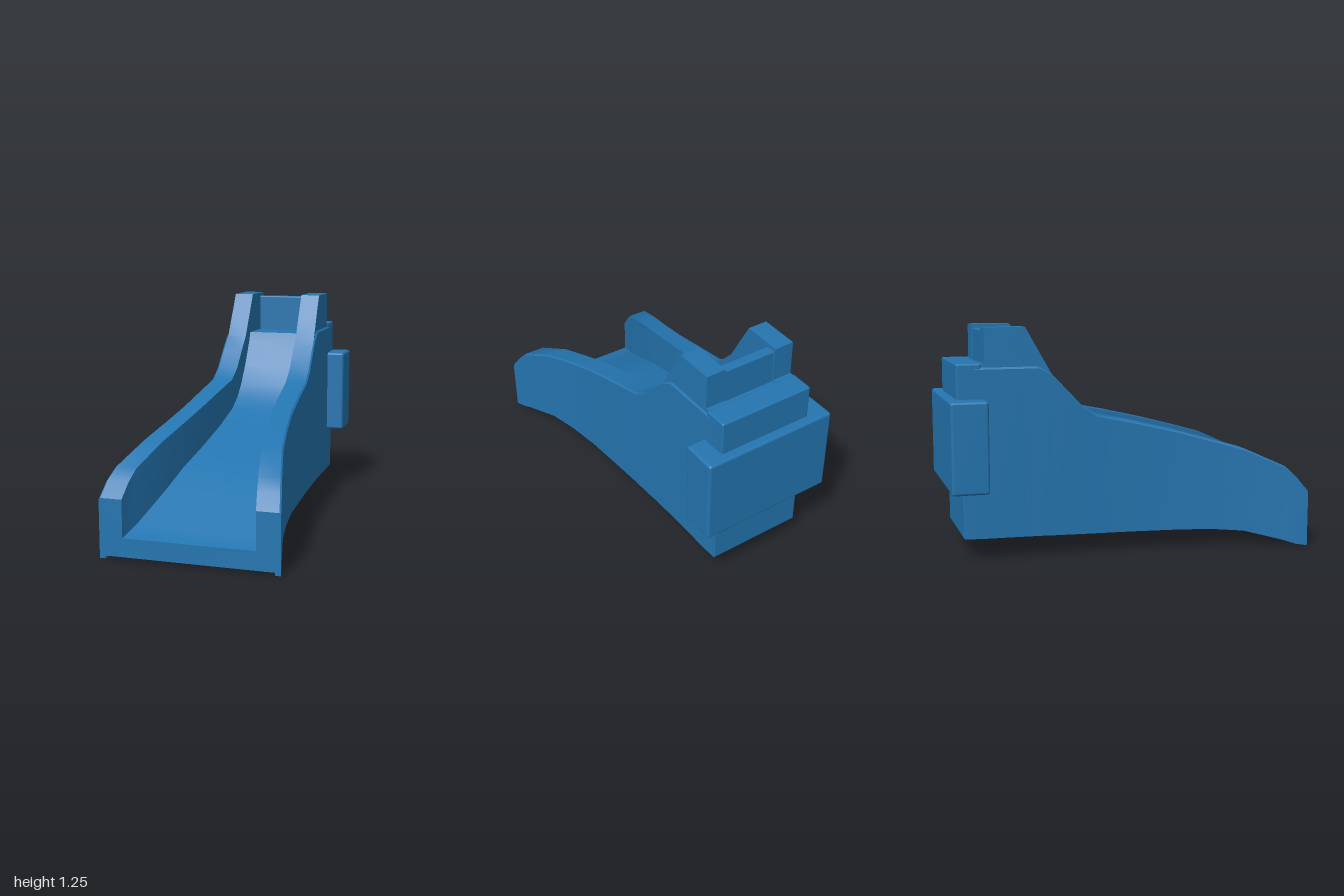
import * as THREE from 'three';
import { toCreasedNormals } from 'three/addons/utils/BufferGeometryUtils.js';
import { RoundedBoxGeometry } from 'three/addons/geometries/RoundedBoxGeometry.js';

// Stations from front to back: z, centre x, outer half, inner half, wall top, wall bottom, chute floor, floor underside
const STATIONS = [
  [0.985, 0, 0.478, 0.352, 0.32, 0.005, 0.12, 0.02],
  [0.92, 0, 0.463, 0.338, 0.40, 0.015, 0.14, 0.03],
  [0.86, 0.004, 0.443, 0.322, 0.46, 0.035, 0.17, 0.07],
  [0.64, 0.01, 0.383, 0.268, 0.56, 0.09, 0.285, 0.2],
  [0.45, 0.012, 0.348, 0.235, 0.615, 0.105, 0.375, 0.3],
  [0.25, 0.014, 0.318, 0.205, 0.67, 0.107, 0.445, 0.38],
  [0.0, 0.014, 0.3, 0.18, 0.73, 0.11, 0.525, 0.46],
  [-0.19, 0.012, 0.289, 0.165, 0.77, 0.112, 0.595, 0.53],
  [-0.28, 0.012, 0.286, 0.162, 0.83, 0.113, 0.65, 0.58],
  [-0.36, 0.01, 0.283, 0.16, 0.915, 0.115, 0.725, 0.65],
  [-0.44, 0.01, 0.28, 0.158, 1.0, 0.116, 0.84, 0.75],
  [-0.51, 0.01, 0.278, 0.156, 1.125, 0.118, 0.97, 0.88],
  [-0.53, 0.01, 0.277, 0.156, 1.16, 0.118, 1.02, 0.93],
  [-0.58, 0.01, 0.276, 0.155, 1.25, 0.119, 1.02, 0.95],
  [-0.8, 0.01, 0.274, 0.152, 1.25, 0.122, 1.02, 0.95],
  [-0.801, 0.01, 0.274, 0.152, 1.06, 0.122, 1.055, 0.95],
  [-0.92, 0.01, 0.272, 0.152, 1.06, 0.125, 1.055, 0.95],
];

// Channel cross-section: two walls, a floor between them and a hollow beneath
function section([, centre, outer, inner, top, bottom, floor, under]) {
  const shoulder = Math.min(top - 0.01, 1.03);
  const skin = outer - 0.03;
  const right = [
    [outer, bottom], [outer, shoulder], [outer - 0.009, Math.min(top, shoulder + 0.01)],
    [outer - 0.01, top], [inner, top], [inner, floor],
  ];
  const left = right.map(([x, y]) => [-x, y]).reverse();
  const hollow = [[-skin, bottom], [-skin, under], [skin, under], [skin, bottom]];
  return [...right, ...left, ...hollow].map(([x, y]) => [x + centre, y]);
}

// Skin the stations and close both ends
function loftGeometry(stations) {
  const rings = stations.map(section);
  const n = rings[0].length;
  const positions = [];
  const index = [];
  rings.forEach((ring, s) => ring.forEach(([x, y]) => positions.push(x, y, stations[s][0])));
  for (let s = 0; s < rings.length - 1; s++) {
    for (let j = 0; j < n; j++) {
      const k = (j + 1) % n;
      const a = s * n + j, b = a + n, c = (s + 1) * n + k, d = s * n + k;
      index.push(a, b, c, a, c, d);
    }
  }
  const cap = (ring) => THREE.ShapeUtils.triangulateShape(ring.map(([x, y]) => new THREE.Vector2(x, y)), []);
  const last = (rings.length - 1) * n;
  cap(rings[0]).forEach(([a, b, c]) => index.push(a, b, c));
  cap(rings[rings.length - 1]).forEach(([a, b, c]) => index.push(last + a, last + c, last + b));
  const geometry = new THREE.BufferGeometry();
  geometry.setAttribute('position', new THREE.Float32BufferAttribute(positions, 3));
  geometry.setIndex(index);
  return toCreasedNormals(geometry, 0.5);
}

export function createModel() {
  const group = new THREE.Group();
  const blue = new THREE.MeshStandardMaterial({ color: 0x2475b0, side: THREE.DoubleSide });
  blue.name = 'blue';

  const add = (name, geometry) => {
    const mesh = new THREE.Mesh(geometry, blue);
    mesh.name = name;
    group.add(mesh);
  };
  // Box given by its extents, softly rounded
  const block = (name, x0, x1, y0, y1, z0, z1, radius) => {
    const geometry = new RoundedBoxGeometry(x1 - x0, y1 - y0, z1 - z0, 2, radius);
    geometry.translate((x0 + x1) / 2, (y0 + y1) / 2, (z0 + z1) / 2);
    add(name, geometry);
  };

  // Flared chute with side walls, towers and hollow underside
  add('chuteBody', loftGeometry(STATIONS));

  // Panel between the towers
  block('towerPanel', -0.155, 0.175, 0.98, 1.23, -0.79, -0.735, 0.008);

  // Rear closing wall, shoulder and wide box at the back
  block('rearWall', -0.261, 0.281, 0.125, 1.0, -0.925, -0.88, 0.006);
  block('rearShoulder', -0.262, 0.282, 0.6, 1.062, -0.952, -0.82, 0.01);
  block('rearBox', -0.382, 0.386, 0.385, 0.875, -1.0, -0.8, 0.015);

  return group;
}
